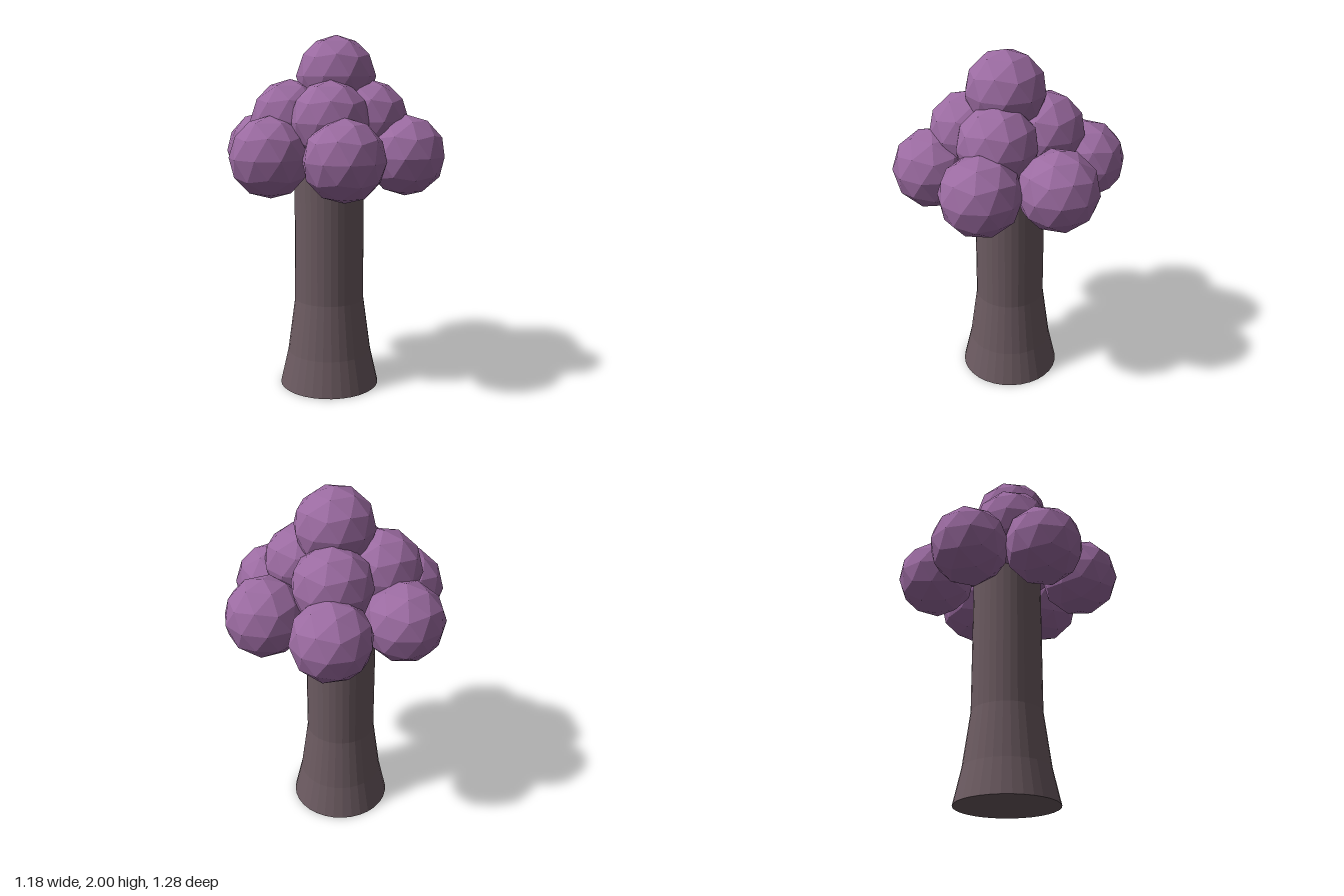
import * as THREE from 'three';

export function createModel() {
  const model = new THREE.Group();
  const foliage = new THREE.MeshStandardMaterial({ color: 0x9b6ba1, flatShading: true });
  foliage.name = 'purple foliage';
  const bark = new THREE.MeshStandardMaterial({ color: 0x6b5a60, flatShading: true });
  bark.name = 'dull brown bark';

  // Trunk: flared foot, straight shaft, closed at both ends
  const profile = [[0, 0], [0.285, 0], [0.24, 0.2], [0.198, 0.51], [0.195, 1.4], [0, 1.4]]
    .map(([r, y]) => new THREE.Vector2(r, y));
  const trunk = new THREE.Mesh(new THREE.LatheGeometry(profile, 32), bark);
  trunk.name = 'trunk';
  trunk.position.set(-0.013, 0, 0.018);
  model.add(trunk);

  // Faceted ball with a corner pointing straight up
  const ball = new THREE.IcosahedronGeometry(0.221, 1);
  ball.rotateZ(Math.atan(2 / (1 + Math.sqrt(5))));
  ball.rotateY(Math.PI);

  const addPuff = (name, x, y, z, yaw = 0) => {
    const puff = new THREE.Mesh(ball, foliage);
    puff.name = name;
    puff.position.set(x, y, z);
    puff.rotation.y = yaw;
    model.add(puff);
  };

  // Lower ring of six, each turned a further sixth
  [[0, 0.418], [0.368, 0.203], [0.355, -0.225], [0, -0.418], [-0.368, -0.203], [-0.355, 0.225]]
    .forEach(([x, z], i) => addPuff('lowerPuff' + (i + 1), x, 1.355, z, i * Math.PI / 3));

  // Middle ring of four
  [[-0.09, 0.225], [0.17, 0.145], [0.17, -0.118], [-0.16, -0.1]]
    .forEach(([x, z], i) => addPuff('middlePuff' + (i + 1), x, 1.542, z));

  // Crown
  addPuff('topPuff', 0.028, 1.779, 0);

  return model;
}
